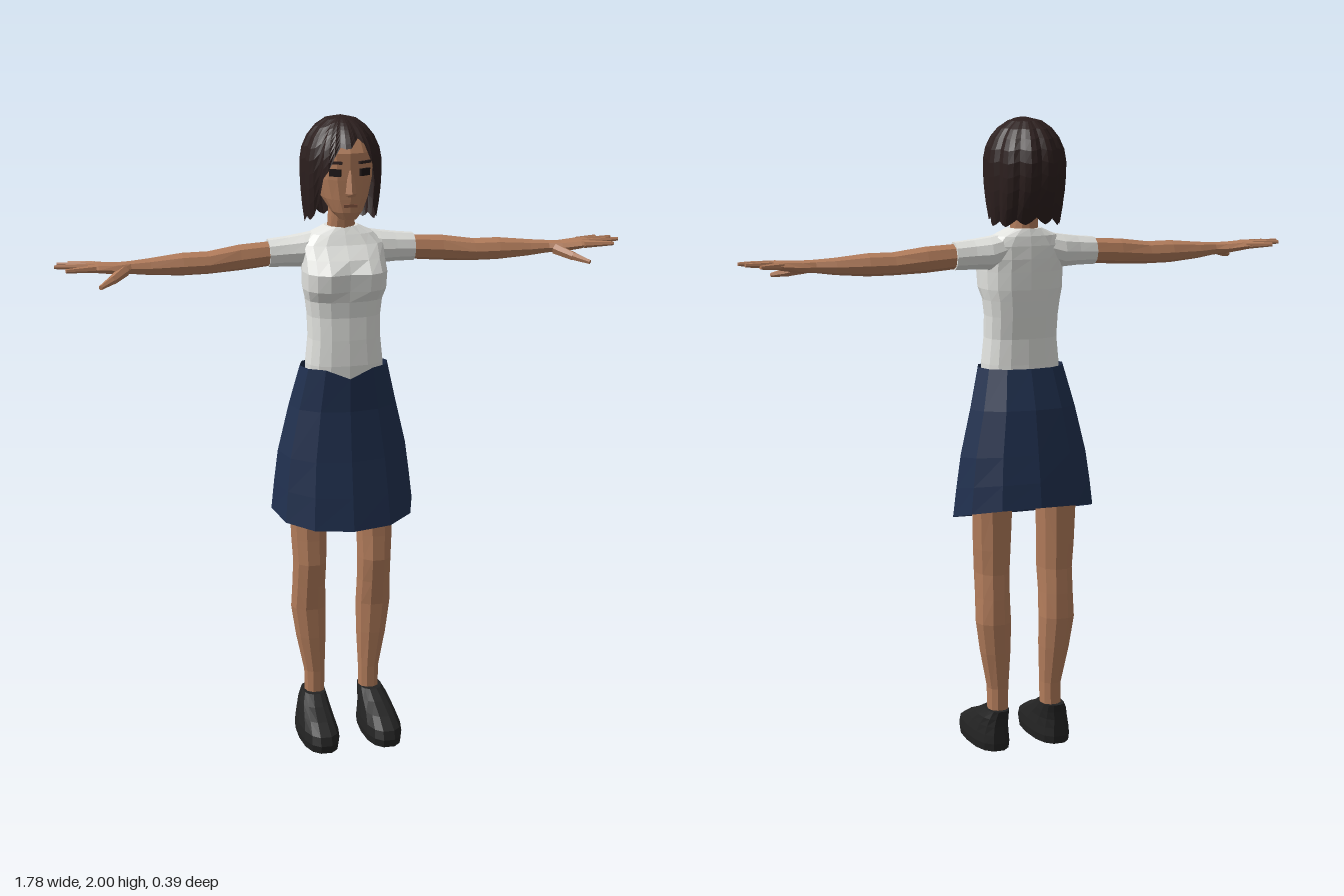
import * as THREE from 'three';

const mat = (name, color, side = THREE.FrontSide) => {
  const m = new THREE.MeshStandardMaterial({ color, side });
  m.name = name;
  return m;
};

// bake faceted normals
function facet(geo) {
  const g = geo.index ? geo.toNonIndexed() : geo;
  g.computeVertexNormals();
  return g;
}

// skin a list of equal-length point rings, optionally capping both ends
function loft(rings, capped = true) {
  const n = rings[0].length, pos = [], index = [];
  rings.forEach(r => r.forEach(p => pos.push(p.x, p.y, p.z)));
  for (let j = 0; j < rings.length - 1; j++)
    for (let i = 0; i < n; i++) {
      const a = j * n + i, b = j * n + (i + 1) % n;
      index.push(a, a + n, b, b, a + n, b + n);
    }
  if (capped) {
    const last = (rings.length - 1) * n;
    for (let i = 1; i < n - 1; i++) {
      index.push(0, i, i + 1);
      index.push(last, last + i + 1, last + i);
    }
  }
  const g = new THREE.BufferGeometry();
  g.setAttribute('position', new THREE.Float32BufferAttribute(pos, 3));
  g.setIndex(index);
  return facet(g);
}

// rounded-square curve: signed power of cos / sin
const sp = (v, p) => Math.sign(v) * Math.pow(Math.abs(v) < 1e-9 ? 0 : Math.abs(v), 2 / p);

// upright body: rows of [y, half width, front z, back z, centre x]
function upright(rows, { n = 16, p = 2.4, tweak = null, capped = true } = {}) {
  return loft(rows.map(([y, w, zf, zb, cx = 0], j) => Array.from({ length: n }, (_, i) => {
    const a = (i / n) * Math.PI * 2;
    const v = new THREE.Vector3(cx + w * sp(Math.cos(a), p), y,
      (zf + zb) / 2 + (zf - zb) / 2 * sp(Math.sin(a), p));
    if (tweak) tweak(v, j);
    return v;
  })), capped);
}

// sideways body along +x: rows of [x, centre y, centre z, half height, half depth]
function sideways(rows, n = 8) {
  return loft(rows.map(([x, cy, cz, ry, rz]) => Array.from({ length: n }, (_, i) => {
    const a = (i / n) * Math.PI * 2;
    return new THREE.Vector3(x, cy + ry * Math.sin(a), cz + rz * Math.cos(a));
  })));
}

// tapered rod between two points
function rod(from, to, r0, r1) {
  const a = new THREE.Vector3(...from), b = new THREE.Vector3(...to), d = b.clone().sub(a);
  const g = new THREE.CylinderGeometry(r1, r0, d.length(), 6);
  g.applyQuaternion(new THREE.Quaternion().setFromUnitVectors(new THREE.Vector3(0, 1, 0), d.normalize()));
  return facet(g.translate(...a.add(b).multiplyScalar(0.5).toArray()));
}

// copy reflected in x with its corner order restored
function mirrored(geo) {
  const g = geo.clone(), p = g.attributes.position;
  for (let i = 0; i < p.count; i += 3) {
    const t = [0, 1, 2].map(k => new THREE.Vector3().fromBufferAttribute(geo.attributes.position, i + k));
    [t[0], t[2], t[1]].forEach((v, k) => p.setXYZ(i + k, -v.x, v.y, v.z));
  }
  g.computeVertexNormals();
  return g;
}

// hair shell: strands fall from the crown to a hairline that varies with angle
function hairGeometry() {
  const line = [[-180, 1.69], [-110, 1.675], [-70, 1.69], [-52, 1.71], [-42, 1.82], [-22, 1.90], [10, 1.935],
    [25, 1.925], [38, 1.84], [50, 1.71], [70, 1.69], [110, 1.675], [180, 1.69]];
  const hairline = d => {
    const k = Math.max(1, line.findIndex(l => l[0] >= d));
    const [a, b] = [line[k - 1], line[k]];
    return a[1] + (b[1] - a[1]) * (d - a[0]) / (b[0] - a[0]);
  };
  const n = 44, rows = 9, rings = [];
  for (let j = 0; j <= rows; j++) {
    rings.push(Array.from({ length: n }, (_, i) => {
      const deg = 180 - (i / n) * 360, a = deg * Math.PI / 180;
      const end = hairline(deg) + (i % 4 === 0 ? 0.012 : i % 4 === 2 ? -0.008 : 0);
      const y = 2 - (2 - end) * Math.pow(j / rows, 1.5);
      const up = (y - 1.86) / 0.14, low = Math.pow(Math.max(0, 1.86 - y) / 0.18, 2);
      const r = (y > 1.86 ? Math.sqrt(Math.max(0, 1 - up * up)) : 1) * (i % 4 === 0 ? 0.93 : i % 2 ? 0.98 : 1);
      return new THREE.Vector3(Math.sin(a) * 0.125 * r * (1 - 0.1 * low), y,
        -0.045 + Math.cos(a) * 0.155 * r * (1 - 0.4 * low));
    }));
  }
  return loft(rings.reverse(), false);
}

export function createModel() {
  const model = new THREE.Group();
  model.name = 'woman';
  const skin = mat('skin', 0xb27c5b);
  const lips = mat('lips', 0x85543f);
  const dark = mat('eye dark', 0x1c1514);
  const hair = mat('hair brown', 0x2c1f1e, THREE.DoubleSide);
  const shirt = mat('shirt white', 0xe2e3df);
  const navy = mat('skirt navy', 0x20304f, THREE.DoubleSide);
  const black = mat('shoe black', 0x232323);

  const add = (name, geo, material) => {
    const m = new THREE.Mesh(geo, material);
    m.name = name;
    model.add(m);
  };
  const pair = (name, geo, material) => {
    add(name + 'Left', geo, material);
    add(name + 'Right', mirrored(geo), material);
  };
  const plate = (w, h, d, x, y, z, turn = 0) =>
    facet(new THREE.BoxGeometry(w, h, d).rotateY(turn).translate(x, y, z));

  // head and neck
  add('head', upright([
    [1.697, 0.026, 0.078, 0.02], [1.72, 0.048, 0.086, -0.03], [1.76, 0.07, 0.088, -0.1],
    [1.82, 0.086, 0.088, -0.13], [1.9, 0.09, 0.086, -0.14], [1.95, 0.074, 0.058, -0.11],
    [1.98, 0.035, 0.01, -0.07]], { p: 2.5 }), skin);
  add('neck', upright([
    [1.58, 0.05, 0, -0.085], [1.66, 0.044, 0.006, -0.082], [1.75, 0.04, 0.02, -0.08]], { n: 12, p: 2 }), skin);

  // face details
  add('nose', upright([
    [1.77, 0.016, 0.1, 0.075], [1.78, 0.017, 0.108, 0.075], [1.85, 0.007, 0.091, 0.075]], { n: 4, p: 2 }), skin);
  add('mouth', plate(0.042, 0.009, 0.008, 0, 1.742, 0.086), lips);
  pair('eye', plate(0.036, 0.022, 0.008, 0.046, 1.843, 0.0795, 0.5), dark);
  pair('eyebrow', plate(0.044, 0.008, 0.008, 0.046, 1.873, 0.0795, 0.5), hair);
  add('hair', hairGeometry(), hair);

  // shirt, hollowed a little between the breasts
  add('shirtBody', upright([
    [1.18, 0.122, 0.078, -0.085], [1.24, 0.122, 0.08, -0.082], [1.32, 0.114, 0.076, -0.08],
    [1.39, 0.115, 0.071, -0.09], [1.44, 0.121, 0.075, -0.096], [1.475, 0.13, 0.1, -0.1],
    [1.53, 0.132, 0.11, -0.102], [1.57, 0.13, 0.075, -0.103], [1.61, 0.132, 0.036, -0.1],
    [1.64, 0.1, 0.018, -0.095], [1.662, 0.052, 0.004, -0.086]], {
    p: 2.6,
    tweak: (v, j) => { if ((j === 5 || j === 6) && v.z > 0 && Math.abs(v.x) < 0.02) v.z -= 0.018; },
  }), shirt);
  pair('sleeve', sideways([
    [0.05, 1.607, -0.045, 0.045, 0.045], [0.12, 1.588, -0.043, 0.052, 0.055],
    [0.17, 1.586, -0.041, 0.047, 0.047], [0.23, 1.583, -0.04, 0.044, 0.042]], 10), shirt);

  // skirt with a tilted hem and a dipped front waistline
  const tilt = [0.27, 0.2, 0.12, 0.05, 0];
  add('skirt', upright([
    [0.758, 0.23, 0.14, -0.19], [0.85, 0.22, 0.125, -0.18], [0.95, 0.207, 0.108, -0.165],
    [1.1, 0.172, 0.089, -0.14], [1.23, 0.14, 0.086, -0.1]], {
    n: 12, p: 2.2, capped: false,
    tweak: (v, j) => {
      v.y -= tilt[j] * v.z;
      if (j === 4 && v.z > 0 && Math.abs(v.x) < 0.02) v.y -= 0.03;
    },
  }), navy);

  // arms and palms
  pair('arm', sideways([
    [0.2, 1.583, -0.04, 0.038, 0.036], [0.32, 1.575, -0.035, 0.04, 0.039], [0.42, 1.566, -0.025, 0.035, 0.042],
    [0.5, 1.566, -0.022, 0.035, 0.042], [0.6, 1.565, -0.015, 0.026, 0.033], [0.66, 1.567, -0.008, 0.02, 0.026],
    [0.7, 1.567, -0.004, 0.019, 0.036], [0.76, 1.573, -0.004, 0.016, 0.044],
    [0.79, 1.577, -0.008, 0.011, 0.043]]), skin);

  // fingers: root and tip
  [[[0.77, 1.575, 0.028], [0.86, 1.578, 0.05]], [[0.77, 1.577, 0.008], [0.89, 1.582, 0.004]],
    [[0.77, 1.577, -0.014], [0.878, 1.582, -0.035]], [[0.765, 1.575, -0.034], [0.84, 1.578, -0.068]]]
    .forEach(([root, tip], i) => pair('finger' + (i + 1), rod(root, tip, 0.012, 0.006), skin));
  pair('thumbBase', rod([0.68, 1.562, 0.012], [0.725, 1.545, 0.062], 0.018, 0.014), skin);
  pair('thumbTip', rod([0.722, 1.546, 0.058], [0.765, 1.533, 0.1], 0.014, 0.007), skin);

  // legs
  pair('leg', upright([
    [0.09, 0.032, 0, -0.075, 0.09], [0.2, 0.034, 0.002, -0.075, 0.09], [0.32, 0.049, 0.008, -0.092, 0.1],
    [0.42, 0.057, 0.011, -0.103, 0.107], [0.5, 0.054, 0.024, -0.1, 0.107], [0.58, 0.054, 0.04, -0.096, 0.106],
    [0.66, 0.058, 0.035, -0.1, 0.107], [0.8, 0.063, 0.03, -0.105, 0.107], [1.0, 0.07, 0.05, -0.11, 0.105]],
  { n: 10, p: 2.2 }), skin);

  // shoes
  pair('shoe', upright([
    [0, 0.059, 0.195, -0.088, 0.103], [0.025, 0.062, 0.2, -0.092, 0.103], [0.052, 0.059, 0.19, -0.09, 0.103],
    [0.08, 0.052, 0.135, -0.088, 0.102], [0.105, 0.046, 0.07, -0.088, 0.099], [0.13, 0.037, 0.02, -0.09, 0.094]],
  { n: 14, p: 2.5 }), black);

  return model;
}
